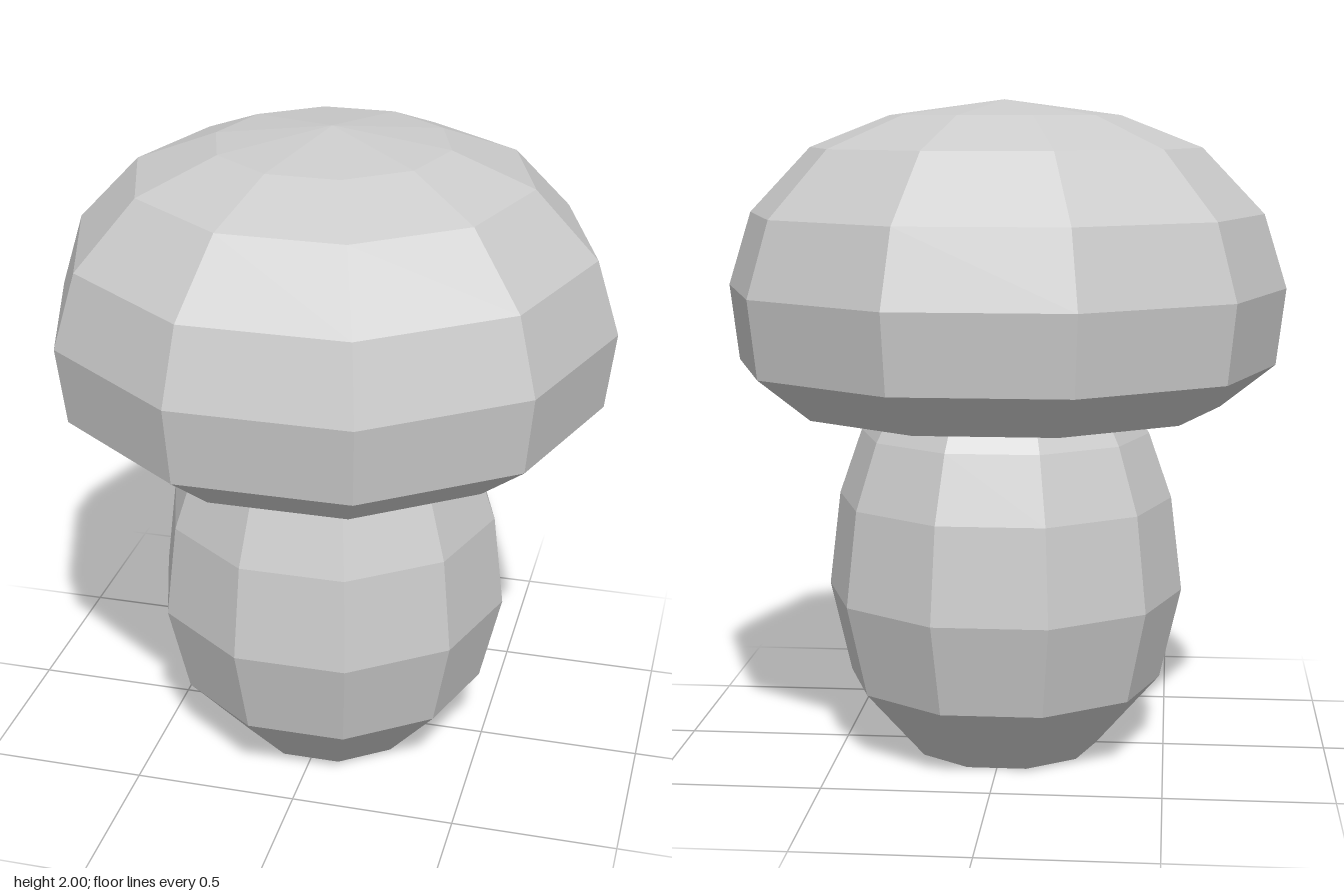
import * as THREE from 'three';

const SIDES = 10;

// Faceted turned solid; profile runs from the bottom up as [radius, height]
function turned(name, profile) {
  const points = profile.map(([r, y]) => new THREE.Vector2(r, y));
  // A quarter turn puts corners on the x axis and flat facets at front and back
  const geometry = new THREE.LatheGeometry(points, SIDES, Math.PI / 2);
  const material = new THREE.MeshStandardMaterial({ color: 0xcccccc, flatShading: true });
  const mesh = new THREE.Mesh(geometry, material);
  mesh.name = name;
  return mesh;
}

export function createModel() {
  const group = new THREE.Group();
  group.name = 'mushroom';

  // Bulging stem with a flat foot, its top tucked inside the cap
  group.add(turned('stem', [
    [0, 0], [0.29, 0], [0.485, 0.22], [0.55, 0.5],
    [0.515, 0.79], [0.445, 0.99], [0.36, 1.14], [0, 1.14],
  ]));

  // Domed cap with a bevelled rim and a flat underside
  group.add(turned('cap', [
    [0, 1.075], [0.66, 1.075], [0.825, 1.205], [0.853, 1.437],
    [0.783, 1.66], [0.595, 1.857], [0.35, 1.953], [0, 2],
  ]));

  return group;
}
